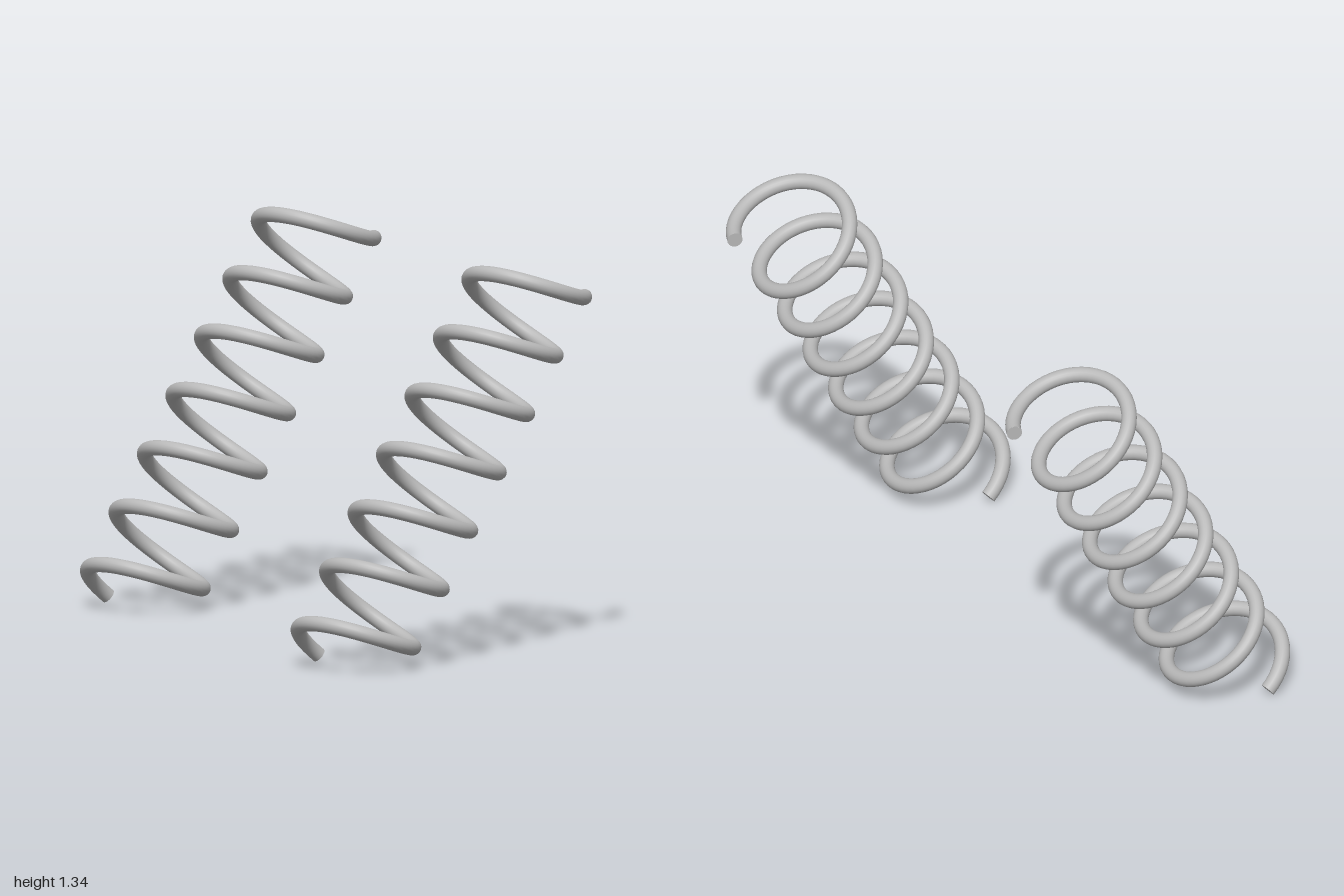
import * as THREE from 'three';

const COIL_RADIUS = 0.188, WIRE_RADIUS = 0.026, TURNS = 6.69;
const RISE = new THREE.Vector3(0.107, 0.191, 0);        // leaning axis, travel per turn
const SIDE = new THREE.Vector3(0.873, -0.488, 0);       // square to the axis
const START = new THREE.Vector3(-0.364, 0.022, 0);      // foot of the axis

// Helix around a leaning axis
class CoilCurve extends THREE.Curve {
  getPoint(t, target = new THREE.Vector3()) {
    const turn = t * TURNS, a = turn * Math.PI * 2;
    target.copy(START).addScaledVector(RISE, turn);
    target.addScaledVector(SIDE, -COIL_RADIUS * Math.sin(a));
    target.z -= COIL_RADIUS * Math.cos(a);
    return target;
  }
}

export function createModel() {
  const model = new THREE.Group();
  model.name = 'springPair';
  const steel = new THREE.MeshStandardMaterial({ color: 0xb8b8b8 });
  steel.name = 'steelGrey';

  const curve = new CoilCurve();
  curve.arcLengthDivisions = 1000;
  const wireGeometry = new THREE.TubeGeometry(curve, 320, WIRE_RADIUS, 20, false);
  const capGeometry = new THREE.CircleGeometry(WIRE_RADIUS, 20);

  // Flat disc closing one end of the wire
  function wireEnd(name, t, direction) {
    const cap = new THREE.Mesh(capGeometry, steel);
    cap.name = name;
    const outward = curve.getTangent(t).multiplyScalar(direction);
    cap.position.copy(curve.getPoint(t));
    cap.quaternion.setFromUnitVectors(new THREE.Vector3(0, 0, 1), outward);
    return cap;
  }

  // Two identical springs, front and back
  for (const [name, z] of [['frontSpring', 0.785], ['backSpring', -0.785]]) {
    const spring = new THREE.Group();
    spring.name = name;
    const wire = new THREE.Mesh(wireGeometry, steel);
    wire.name = 'coiledWire';
    spring.add(wire, wireEnd('lowerWireEnd', 0, -1), wireEnd('upperWireEnd', 1, 1));
    spring.position.z = z;
    model.add(spring);
  }
  return model;
}
